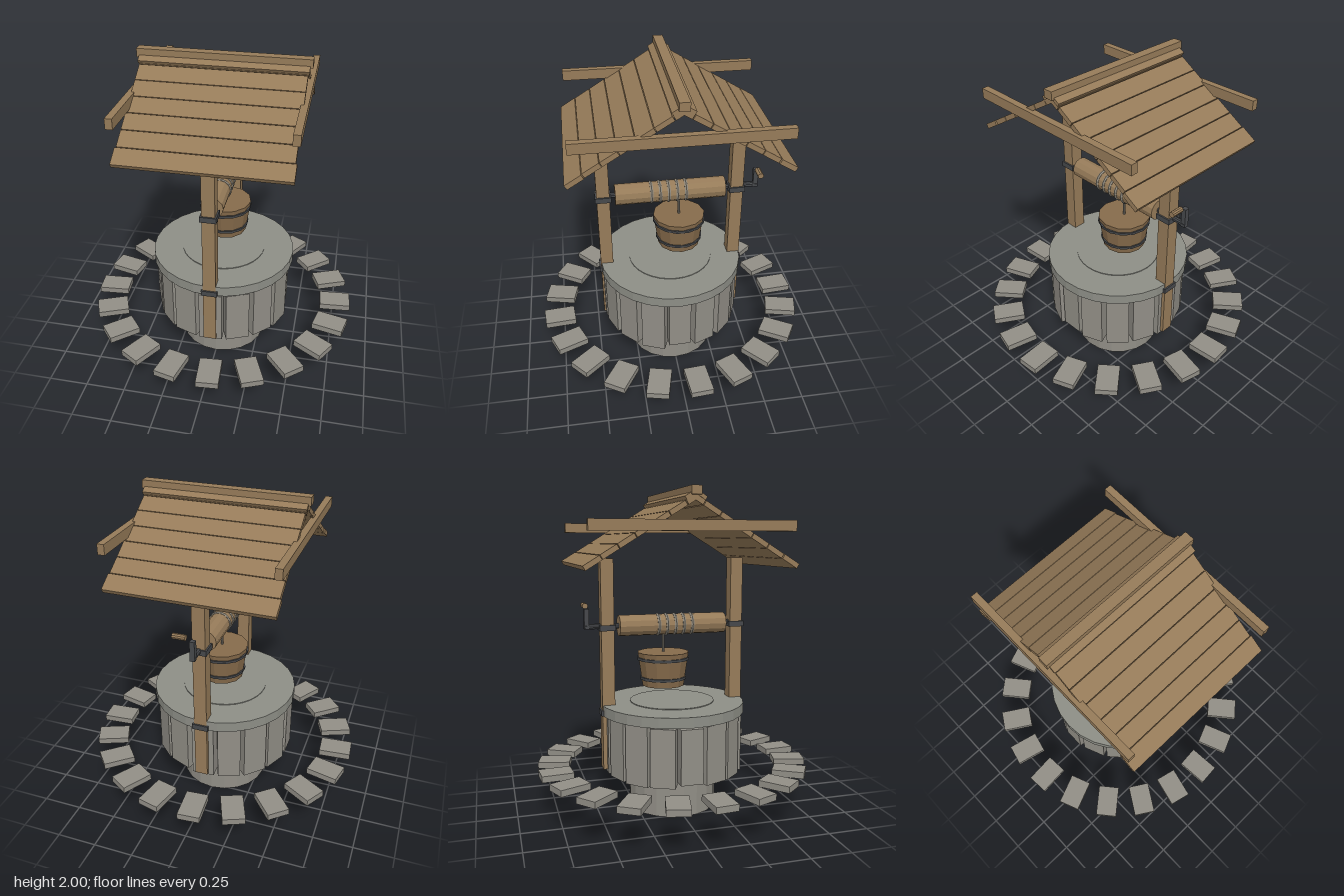
import * as THREE from 'three';

const mat = (name, color) => {
  const m = new THREE.MeshStandardMaterial({ color, flatShading: true });
  m.name = name;
  return m;
};

export function createModel() {
  const stone = mat('grey stone', 0x918e86);
  const capStone = mat('cap stone', 0x8d8e86);
  const wood = mat('timber', 0x967b59);
  const bucketWood = mat('bucket wood', 0x866b4b);
  const iron = mat('dark iron', 0x46484b);
  const rope = mat('rope', 0x8d877b);

  const model = new THREE.Group();
  model.name = 'well';

  let seed = 7;
  const rand = () => (seed = (seed * 16807) % 2147483647) / 2147483647;
  const jitter = (amount) => (rand() - 0.5) * 2 * amount;

  const add = (name, geometry, material, x, y, z, parent = model) => {
    const mesh = new THREE.Mesh(geometry, material);
    mesh.name = name;
    mesh.position.set(x, y, z);
    parent.add(mesh);
    return mesh;
  };
  const box = (name, w, h, d, material, x, y, z, parent) =>
    add(name, new THREE.BoxGeometry(w, h, d), material, x, y, z, parent);
  const cyl = (name, rTop, rBottom, h, sides, material, x, y, z) =>
    add(name, new THREE.CylinderGeometry(rTop, rBottom, h, sides), material, x, y, z);

  // Hollow shaft, open at the bottom
  const shaftProfile = [[0.28, 0], [0.28, 0.63], [0.255, 0.63], [0.255, 0], [0.28, 0]]
    .map(([r, y]) => new THREE.Vector2(r, y));
  add('shaft', new THREE.LatheGeometry(shaftProfile, 20), stone, 0, 0, 0);

  // Ring of upright wall stones
  const wallStones = 16;
  for (let i = 0; i < wallStones; i++) {
    const a = (i / wallStones) * Math.PI * 2;
    const r = 0.375 + jitter(0.012);
    const bottom = 0.25 + jitter(0.02);
    const top = 0.615 + jitter(0.008);
    const s = box('wallStone', 0.13, top - bottom, 0.145 + jitter(0.01), stone,
      Math.cos(a) * r, (top + bottom) / 2, Math.sin(a) * r);
    s.rotation.y = -a + jitter(0.05);
  }

  // Cap slab with raised centre disc
  cyl('capSlab', 0.46, 0.46, 0.065, 28, capStone, 0, 0.6525, 0);
  cyl('capDisc', 0.27, 0.27, 0.006, 32, capStone, 0, 0.687, 0);

  // Paving stones around the well
  const paving = 20;
  for (let i = 0; i < paving; i++) {
    const a = (i / paving) * Math.PI * 2 - 0.08;
    const s = box('pavingStone', 0.2, 0.04, 0.138, stone,
      Math.cos(a) * 0.763, 0.275, Math.sin(a) * 0.763);
    s.rotation.y = -a;
  }

  // Posts with iron brackets
  for (const side of [1, -1]) {
    box('post', 0.08, 1.325, 0.08, wood, 0, 0.9325, side * 0.42);
    for (const y of [0.637, 1.172]) box('bracket', 0.1, 0.035, 0.1, iron, 0, y, side * 0.42);
  }

  // Windlass: roller, axle, crank and rope coils
  const axisY = 1.18;
  cyl('roller', 0.066, 0.066, 0.69, 12, wood, 0, axisY, 0).rotation.x = Math.PI / 2;
  cyl('axle', 0.017, 0.017, 1.02, 10, iron, 0, axisY, -0.05).rotation.x = Math.PI / 2;
  box('crankArm', 0.03, 0.125, 0.03, iron, 0, 1.2275, -0.545);
  cyl('crankHandle', 0.018, 0.018, 0.08, 10, wood, 0.08, 1.303, -0.545).rotation.z = Math.PI / 2;
  for (let i = 0; i < 5; i++) {
    add('ropeCoil', new THREE.TorusGeometry(0.062, 0.011, 6, 18), rope, 0, axisY, 0.12 - i * 0.054);
  }
  cyl('hangingRope', 0.008, 0.008, 0.14, 8, rope, 0, 1.06, -0.058);

  // Bucket with two hoops
  cyl('bucket', 0.165, 0.134, 0.215, 12, bucketWood, 0, 0.8975, -0.058);
  cyl('upperHoop', 0.168, 0.166, 0.018, 14, iron, 0, 0.965, -0.058);
  cyl('lowerHoop', 0.15, 0.148, 0.018, 14, iron, 0, 0.84, -0.058);

  // Gabled roof of spaced planks
  const pitch = 0.551;
  for (const turn of [0, Math.PI]) {
    const half = new THREE.Group();
    half.name = 'roofHalf';
    half.position.y = 1.956;
    half.rotation.y = turn;
    const slope = new THREE.Group();
    slope.name = 'roofSlope';
    slope.rotation.x = pitch;
    half.add(slope);
    model.add(half);
    box('ridgePlank', 0.97, 0.03, 0.066, wood, 0, -0.015, 0.033, slope);
    for (let i = 0; i < 6; i++) {
      const width = i === 5 ? 0.98 : 0.965;
      box('roofPlank', width, 0.03, 0.108, wood, 0, -0.015, 0.126 + i * 0.1125, slope);
    }
    box('ridgeFlashing', 0.98, 0.022, 0.064, wood, 0, 0.01, 0.032, slope);
  }
  box('ridgeBeam', 1.01, 0.05, 0.06, wood, 0, 1.975, 0);

  // Tie beams at both gable ends
  for (const side of [1, -1]) box('tieBeam', 0.042, 0.062, 1.205, wood, side * 0.486, 1.785, 0);

  return model;
}
